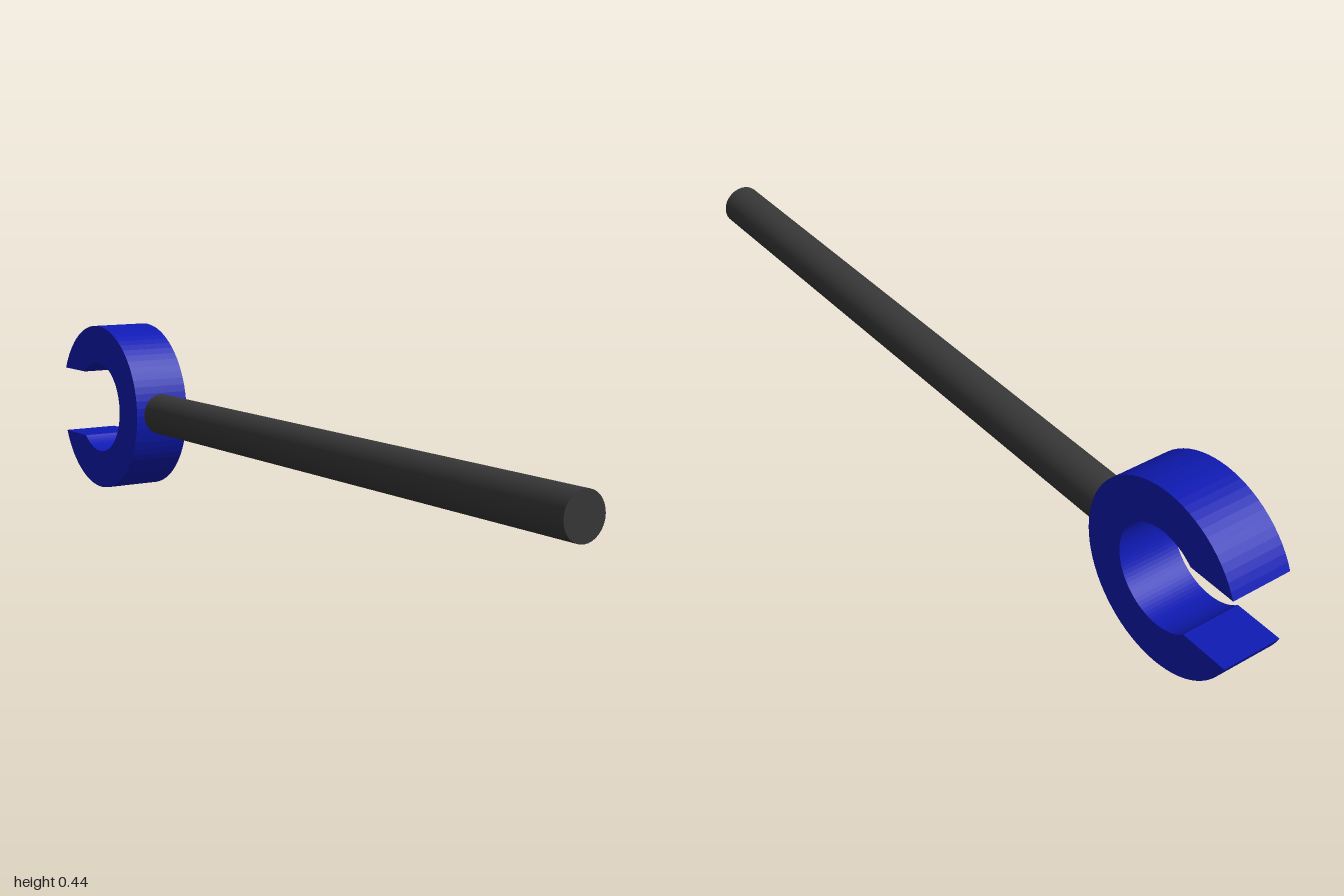
import * as THREE from 'three';

const CENTER_Y = 0.218, CENTER_Z = -0.801; // middle of the ring
const OUTER = 0.218, INNER = 0.12, HALF_GAP = 0.088, WIDTH = 0.147;
const ROD_RADIUS = 0.052, ROD_FRONT = 1, ROD_BACK = -0.595;

// Open ring with a straight-sided slot facing the back
function createJaw() {
  const a = Math.asin(HALF_GAP / OUTER);
  const b = Math.asin(HALF_GAP / INNER);
  const shape = new THREE.Shape();
  shape.absarc(0, 0, OUTER, a, 2 * Math.PI - a, false);
  shape.absarc(0, 0, INNER, 2 * Math.PI - b, b, true);
  shape.closePath();
  const geometry = new THREE.ExtrudeGeometry(shape, { depth: WIDTH, bevelEnabled: false, curveSegments: 32 });
  geometry.translate(0, 0, -WIDTH / 2);
  geometry.rotateY(Math.PI / 2); // shape x becomes -z
  const jaw = new THREE.Mesh(geometry, new THREE.MeshStandardMaterial({ color: 0x0f1ab4 }));
  jaw.name = 'openRingJaw';
  jaw.position.set(0, CENTER_Y, CENTER_Z);
  return jaw;
}

// Long round handle, its end sunk slightly into the ring
function createHandle() {
  const geometry = new THREE.CylinderGeometry(ROD_RADIUS, ROD_RADIUS, ROD_FRONT - ROD_BACK, 32);
  geometry.rotateX(Math.PI / 2);
  const handle = new THREE.Mesh(geometry, new THREE.MeshStandardMaterial({ color: 0x383838 }));
  handle.name = 'handle';
  handle.position.set(0, CENTER_Y, (ROD_FRONT + ROD_BACK) / 2);
  return handle;
}

export function createModel() {
  const model = new THREE.Group();
  model.name = 'openRingTool';
  model.add(createJaw(), createHandle());
  return model;
}
